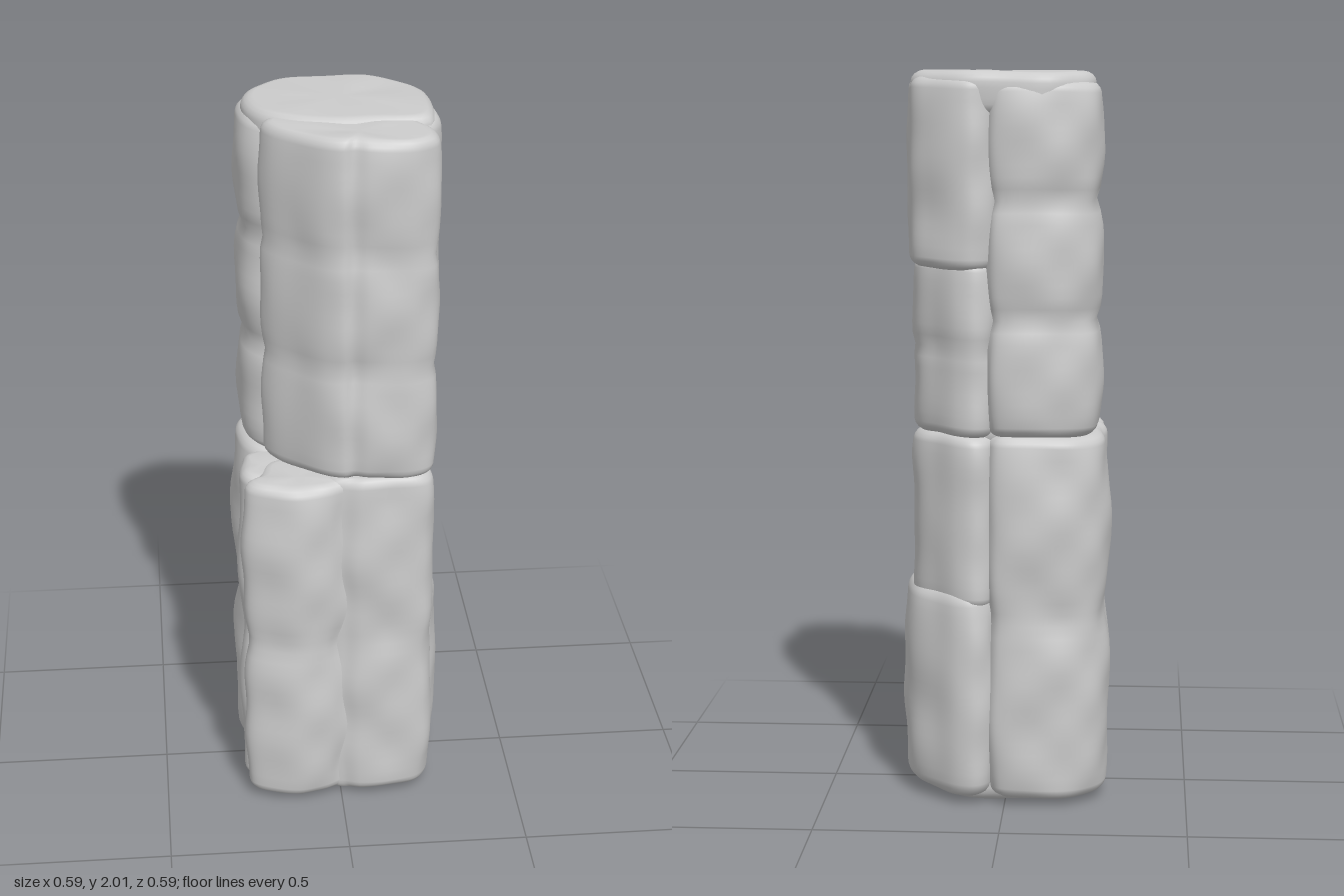
import * as THREE from 'three';

const material = new THREE.MeshStandardMaterial({ color: 0xcccccc, roughness: 0.9 });

// Weathered stone: a footprint [x, z] (clockwise from above) lofted from y0 to y1
// with rounded ends, bulging lumps along its height and soft dents.
function stone(name, outline, y0, y1, { lumps = 2, round = 0.03, bulge = 0.012, seed = 1 } = {}) {
  const curve = new THREE.CatmullRomCurve3(
    outline.map(([x, z]) => new THREE.Vector3(x, 0, z)), true, 'centripetal');
  const sides = 72;
  const ring = Array.from({ length: sides }, (_, i) => curve.getPoint(i / sides));
  const centre = ring.reduce((c, p) => c.add(p), new THREE.Vector3()).divideScalar(sides);

  // Rows: height, inset from the footprint, scale towards the centre
  const rows = [[y0, round, 0.5]];
  for (let k = 0; k <= 4; k++) {
    const a = k / 4 * Math.PI / 2;
    rows.push([y0 + round * (1 - Math.cos(a)), round * (1 - Math.sin(a)), 1]);
  }
  const steps = Math.ceil((y1 - y0) / 0.035);
  for (let k = 1; k < steps; k++) {
    rows.push([y0 + round + (y1 - y0 - 2 * round) * k / steps, 0, 1]);
  }
  for (let k = 4; k >= 0; k--) {
    const a = k / 4 * Math.PI / 2;
    rows.push([y1 - round * (1 - Math.cos(a)), round * (1 - Math.sin(a)), 1]);
  }
  rows.push([y1, round, 0.5]);

  const positions = [], indices = [];
  for (const [y, inset, scale] of rows) {
    const t = (y - y0) / (y1 - y0);
    const lump = bulge * (Math.abs(Math.sin(Math.PI * lumps * t)) ** 0.5 - 0.75);
    for (const p of ring) {
      const d = p.clone().sub(centre);
      const dent = 0.006 * Math.sin(17 * y + seed * 2.1) * Math.cos(16 * p.x + seed) * Math.cos(16 * p.z + seed)
        + 0.003 * Math.sin(31 * y + seed * 4.7) * Math.cos(27 * (p.x - p.z));
      const length = d.length();
      d.multiplyScalar((length - inset + lump + dent) / length * scale);
      const wave = 0.003 * Math.sin(15 * p.x + seed) * Math.cos(13 * p.z);
      positions.push(centre.x + d.x, y + wave, centre.z + d.z);
    }
  }
  for (let r = 0; r < rows.length - 1; r++) {
    for (let i = 0; i < sides; i++) {
      const a = r * sides + i, b = r * sides + (i + 1) % sides;
      indices.push(a, a + sides, b, b, a + sides, b + sides);
    }
  }
  // Caps
  const bottom = positions.length / 3, top = bottom + 1, last = (rows.length - 1) * sides;
  positions.push(centre.x, y0, centre.z, centre.x, y1, centre.z);
  for (let i = 0; i < sides; i++) {
    const j = (i + 1) % sides;
    indices.push(bottom, i, j, top, last + j, last + i);
  }
  const geometry = new THREE.BufferGeometry();
  geometry.setAttribute('position', new THREE.Float32BufferAttribute(positions, 3));
  geometry.setIndex(indices);
  geometry.computeVertexNormals();
  const mesh = new THREE.Mesh(geometry, material);
  mesh.name = name;
  return mesh;
}

export function createModel() {
  const model = new THREE.Group();
  model.name = 'stonePillar';

  // Lower tier: two wide front columns, a side sliver, the back stone and a bulging side base
  const lower = new THREE.Group();
  lower.name = 'lowerTier';
  lower.add(
    stone('lowerCore', [[-0.2, -0.2], [0.12, -0.22], [0.2, -0.1], [0.21, 0.12], [0.2, 0.2],
      [0.02, 0.22], [-0.18, 0.2], [-0.22, 0]], 0, 1.01, { bulge: 0, round: 0.04 }),
    stone('lowerFrontColumn', [[-0.06, 0.08], [0.23, 0.1], [0.25, 0.13], [0.256, 0.2], [0.23, 0.243],
      [0.13, 0.262], [0.05, 0.26], [0.01, 0.247], [-0.04, 0.23]], 0.015, 1.025, { seed: 2 }),
    stone('lowerFrontLedge', [[-0.05, 0.06], [0.05, 0.1], [0.04, 0.225], [0.0, 0.246], [-0.04, 0.268],
      [-0.12, 0.287], [-0.2, 0.268], [-0.258, 0.238], [-0.268, 0.205], [-0.245, 0.175], [-0.2, 0.08]],
      0.015, 1.015, { seed: 3, bulge: 0.02 }),
    stone('lowerSideSliver', [[-0.15, 0], [-0.1, 0.15], [-0.2, 0.19], [-0.255, 0.175], [-0.275, 0.14],
      [-0.266, 0.06], [-0.25, 0.01]], 0.02, 1.01, { seed: 4 }),
    stone('lowerBack', [[-0.262, -0.2], [-0.21, -0.255], [-0.11, -0.285], [0, -0.283], [0.035, -0.262],
      [0.08, -0.1], [0, 0.06], [-0.2, 0.05], [-0.255, 0], [-0.28, -0.1]], 0.015, 1.025,
      { seed: 5, bulge: 0.02 }),
    stone('lowerSideBase', [[0.04, -0.258], [0.08, -0.288], [0.13, -0.28], [0.19, -0.232], [0.255, -0.165],
      [0.285, -0.08], [0.29, 0.02], [0.262, 0.1], [0.22, 0.125], [0.05, 0.1], [0, -0.1]], 0.02, 0.6,
      { seed: 6, lumps: 1, bulge: 0.02, round: 0.04 }),
    stone('lowerSideRear', [[0.04, -0.255], [0.08, -0.277], [0.13, -0.262], [0.19, -0.208], [0.24, -0.15],
      [0.262, -0.07], [0.258, -0.02], [0.24, 0.01], [0.05, 0.02], [0, -0.1]], 0.55, 1.025,
      { seed: 8, lumps: 1 }),
    stone('lowerSideFront', [[0.05, -0.05], [0.22, -0.04], [0.25, 0], [0.254, 0.08], [0.23, 0.125],
      [0.05, 0.12]], 0.61, 1.025, { seed: 9, lumps: 1 }));

  // Upper tier: cut back at one front corner, with an overhanging side block
  const upper = new THREE.Group();
  upper.name = 'upperTier';
  upper.add(
    stone('upperCore', [[-0.18, -0.18], [0.12, -0.22], [0.2, -0.1], [0.21, 0.12], [0.17, 0.18],
      [-0.02, 0.18], [-0.18, 0]], 0.98, 1.96, { bulge: 0, round: 0.05 }),
    stone('upperFront', [[-0.1, -0.02], [0.2, 0.06], [0.24, 0.11], [0.256, 0.14], [0.252, 0.215], [0.2, 0.25],
      [0.13, 0.258], [0.07, 0.257], [0.03, 0.247], [0, 0.253], [-0.05, 0.232], [-0.12, 0.167],
      [-0.185, 0.1], [-0.2, 0.05]], 1.02, 1.988, { seed: 11, lumps: 3 }),
    stone('upperBack', [[-0.245, -0.2], [-0.2, -0.25], [-0.11, -0.285], [0, -0.283], [0.035, -0.262],
      [0.07, -0.1], [0.02, 0.06], [-0.1, 0.08], [-0.19, 0.055], [-0.24, 0], [-0.258, -0.1]], 1.02, 1.975,
      { seed: 12, lumps: 3, bulge: 0.022 }),
    stone('upperSideBlock', [[0.03, -0.25], [0.08, -0.285], [0.13, -0.278], [0.2, -0.235], [0.25, -0.185],
      [0.268, -0.1], [0.28, 0], [0.272, 0.07], [0.24, 0.115], [0.05, 0.12], [-0.02, 0]], 1.475, 1.985,
      { seed: 13, lumps: 1, bulge: 0.008 }),
    stone('upperSideRear', [[0.04, -0.25], [0.08, -0.274], [0.13, -0.26], [0.19, -0.205], [0.238, -0.15],
      [0.26, -0.07], [0.255, -0.02], [0.24, 0.01], [0.05, 0.02], [0, -0.1]], 1.02, 1.5, { seed: 14 }),
    stone('upperSideFront', [[0.05, -0.05], [0.22, -0.04], [0.248, 0], [0.25, 0.08], [0.225, 0.12],
      [0.05, 0.12]], 1.02, 1.52, { seed: 15 }),
    stone('topCap', [[-0.23, -0.17], [-0.19, -0.23], [-0.11, -0.278], [0.02, -0.272], [0.12, -0.268],
      [0.19, -0.23], [0.247, -0.16], [0.262, -0.05], [0.262, 0.05], [0.24, 0.1], [0.1, 0.115], [-0.02, 0.11],
      [-0.12, 0.09], [-0.19, 0.04], [-0.23, -0.05]], 1.88, 2, { seed: 16, lumps: 1, bulge: 0.006 }));

  model.add(lower, upper);
  return model;
}
